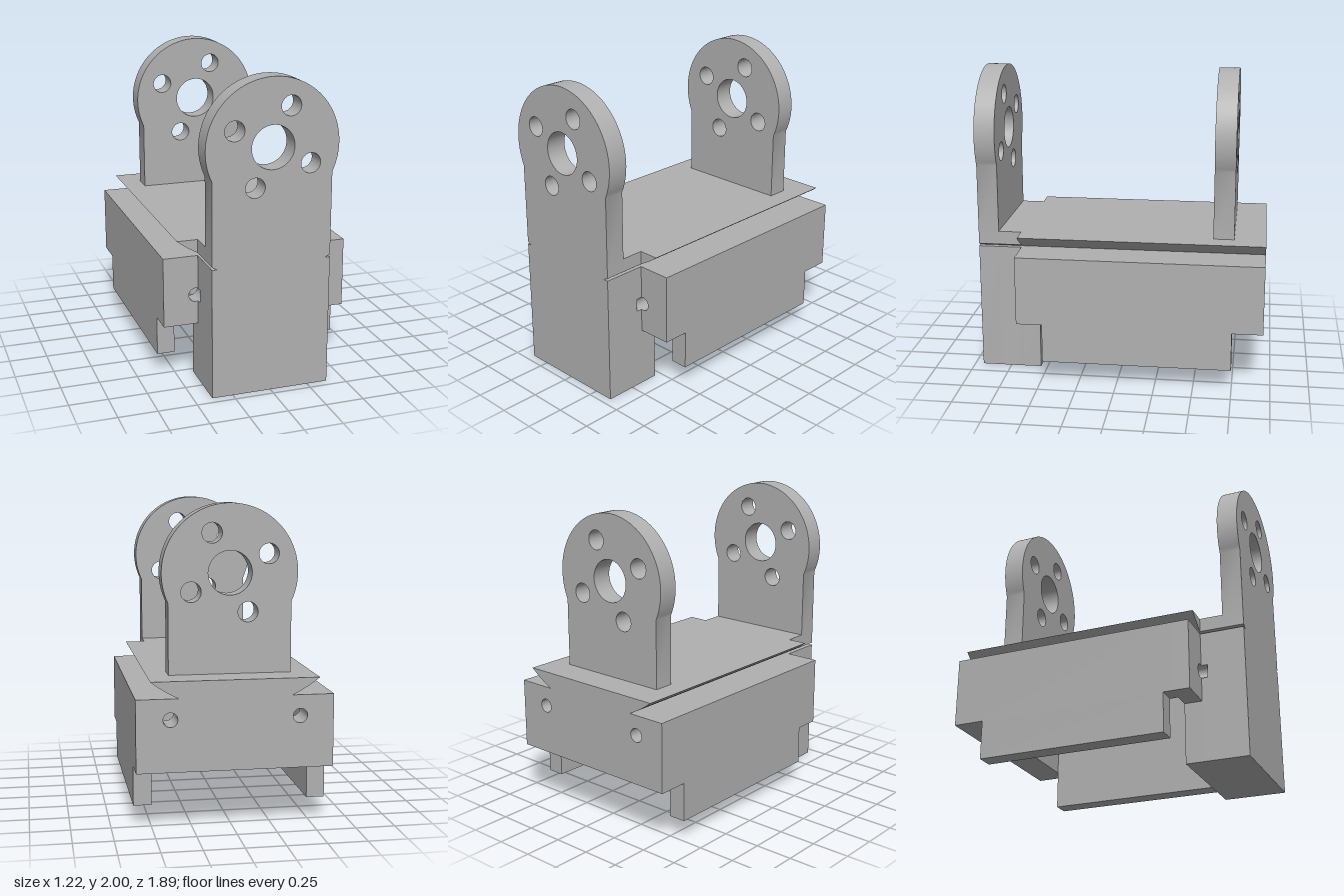
import * as THREE from 'three';
import { toCreasedNormals } from 'three/addons/utils/BufferGeometryUtils.js';

const W = 0.385;            // half width of column and ears
const BODY = 0.61;          // half width of body
const DECK = 0.95, SHOULDER = 0.845;
const EAR_Y = 1.575, EAR_R = 0.425;
const PIN_X = 0.4, PIN_R = 0.045, PIN_Y = 0.585;

export function createModel() {
  const model = new THREE.Group();
  const grey = new THREE.MeshStandardMaterial({ color: 0xb0b0b0 });
  grey.name = 'grey';

  const add = (name, geometry) => {
    const mesh = new THREE.Mesh(geometry, grey);
    mesh.name = name;
    model.add(mesh);
    return mesh;
  };
  // Extrude an outline in x/y between two depths
  const slab = (name, shape, z0, z1) => {
    const g = new THREE.ExtrudeGeometry(shape, { depth: z1 - z0, bevelEnabled: false, curveSegments: 32 });
    g.translate(0, 0, z0);
    return add(name, toCreasedNormals(g, 0.5));
  };
  const box = (name, x0, x1, y0, y1, z0, z1) =>
    add(name, new THREE.BoxGeometry(x1 - x0, y1 - y0, z1 - z0))
      .position.set((x0 + x1) / 2, (y0 + y1) / 2, (z0 + z1) / 2);
  const outline = (points) => new THREE.Shape(points.map(([x, y]) => new THREE.Vector2(x, y)));
  const drill = (shape, x, y, r) => {
    const hole = new THREE.Path();
    hole.absarc(x, y, r, 0, Math.PI * 2, true);
    shape.holes.push(hole);
  };

  // Rounded ear top with centre bore and four bolt holes
  const earTop = (shape) => {
    const a = Math.asin(Math.sqrt(EAR_R ** 2 - W ** 2) / EAR_R);
    shape.absarc(0, EAR_Y, EAR_R, -a, Math.PI + a, false);
    drill(shape, 0, EAR_Y, 0.137);
    for (const [x, y] of [[0.112, 1.82], [-0.243, 1.69], [0.243, 1.46], [-0.112, 1.333]]) drill(shape, x, y, 0.063);
  };

  // Column section: notched shoulders, optional pin grooves, optional ear
  const column = (grooved, eared) => {
    const s = new THREE.Shape();
    s.moveTo(-W, 0);
    s.lineTo(W, 0);
    const b = Math.acos((W - PIN_X) / PIN_R);
    if (grooved) s.absarc(PIN_X, PIN_Y, PIN_R, 2 * Math.PI - b, b, true);
    s.lineTo(W, SHOULDER);
    s.lineTo(0.35, SHOULDER);
    s.lineTo(W, 0.862);
    if (eared) earTop(s);
    else {
      s.lineTo(W, DECK);
      s.lineTo(-W, DECK);
    }
    s.lineTo(-W, 0.862);
    s.lineTo(-0.35, SHOULDER);
    s.lineTo(-W, SHOULDER);
    if (grooved) s.absarc(-PIN_X, PIN_Y, PIN_R, Math.PI - b, b - Math.PI, true);
    s.lineTo(-W, 0);
    return s;
  };
  slab('columnGrooved', column(true, false), 0.66, 0.70);
  slab('columnMiddle', column(false, false), 0.70, 0.81);
  slab('columnWithFrontEar', column(false, true), 0.81, 0.945);

  // Rear ear standing on the deck
  const rear = new THREE.Shape();
  rear.moveTo(-W, DECK);
  rear.lineTo(W, DECK);
  earTop(rear);
  rear.lineTo(-W, DECK);
  slab('rearEar', rear, -0.74, -0.605);

  // Front wall joined to the foot of the column
  const front = outline([[-W, 0], [W, 0], [W, 0.39], [BODY, 0.39], [BODY, SHOULDER],
    [-BODY, SHOULDER], [-BODY, 0.39], [-W, 0.39]]);
  // Back wall closing the hollow body
  const back = outline([[-BODY, 0.39], [BODY, 0.39], [BODY, SHOULDER], [-BODY, SHOULDER]]);
  for (const s of [-1, 1]) {
    drill(front, s * PIN_X, PIN_Y, PIN_R);
    drill(back, s * PIN_X, 0.715, PIN_R);
  }
  slab('frontWall', front, 0.545, 0.66);
  slab('backWall', back, -0.945, -0.745);

  // Side walls and the lower skirts
  for (const [side, x0, x1] of [['left', 0.495, BODY], ['right', -BODY, -0.495]]) {
    box(side + 'Wall', x0, x1, 0.39, SHOULDER, -0.745, 0.545);
    box(side + 'Skirt', x0, x1, 0.135, 0.39, -0.745, 0.49);
  }
  box('ceiling', -0.495, 0.495, 0.835, SHOULDER, -0.745, 0.545);

  // Deck with undercut, slightly curved flanks
  const deck = new THREE.Shape();
  deck.moveTo(-0.35, SHOULDER);
  deck.lineTo(0.35, SHOULDER);
  deck.quadraticCurveTo(0.442, 0.888, 0.52, DECK);
  deck.lineTo(-0.52, DECK);
  deck.quadraticCurveTo(-0.442, 0.888, -0.35, SHOULDER);
  slab('deck', deck, -0.945, 0.66);

  return model;
}
